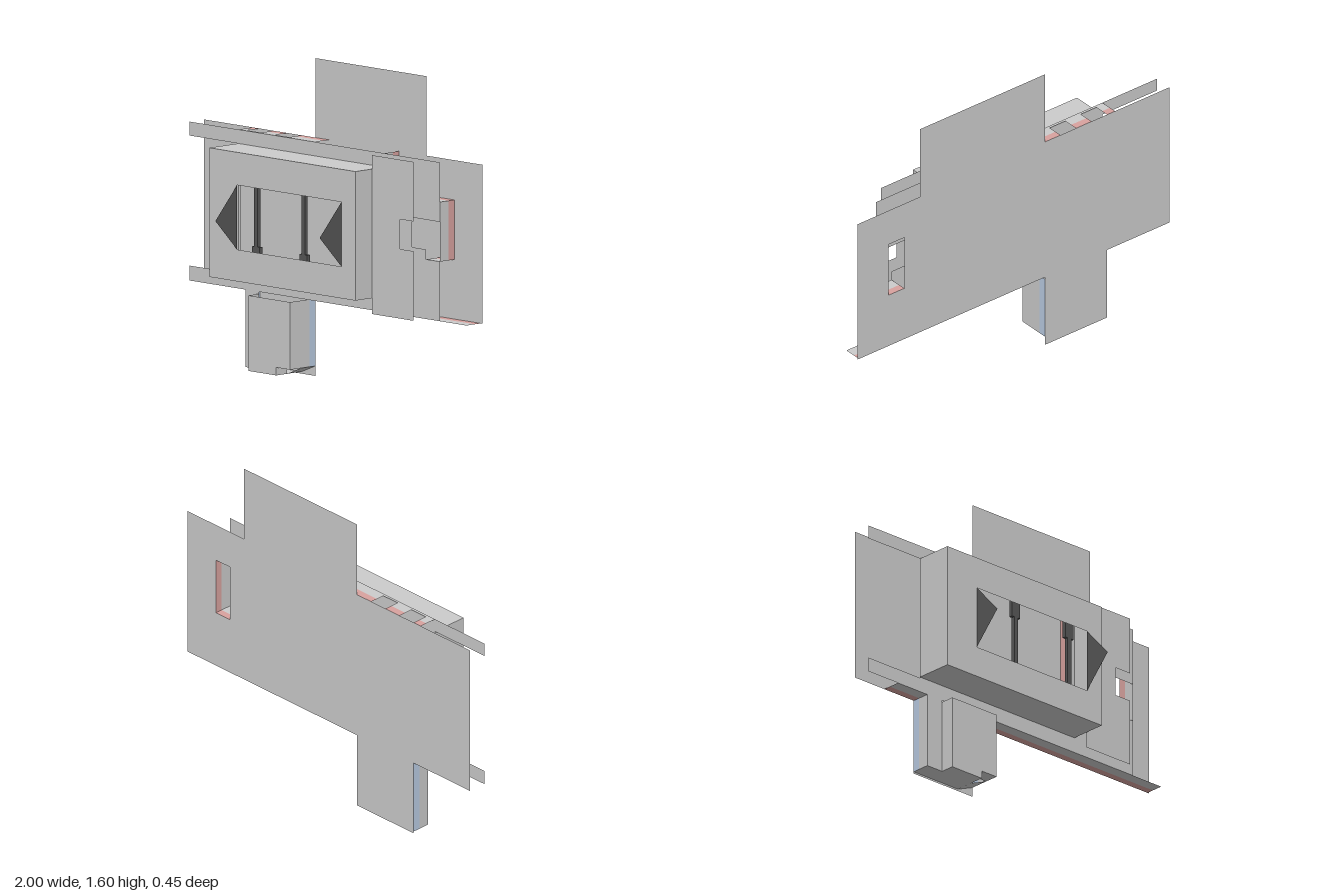
import * as THREE from 'three';

const mat = (color) => new THREE.MeshStandardMaterial({ color, side: THREE.DoubleSide });
const grey = mat(0xcccccc), dark = mat(0x565656), pink = mat(0xd8a29f), blue = mat(0xb9cbe2);
const BACK = -0.225, TINT = -0.185, MID = -0.125, PANEL = -0.04, TOP = 0.075, PEAK = 0.225;

const path = (Type, pts) => {
  const p = new Type();
  p.setFromPoints(pts.map(([x, y]) => new THREE.Vector2(x, y)));
  p.closePath();
  return p;
};
const rect = (x0, x1, y0, y1) => [[x0, y0], [x1, y0], [x1, y1], [x0, y1]];

export function createModel() {
  const model = new THREE.Group();
  const add = (name, geometry, material = grey) => {
    const mesh = new THREE.Mesh(geometry, material);
    mesh.name = name;
    model.add(mesh);
    return mesh;
  };
  // Flat sheet facing front at depth z
  const sheet = (name, z, outline, holes = []) => {
    const shape = path(THREE.Shape, outline);
    shape.holes = holes.map((h) => path(THREE.Path, h));
    add(name, new THREE.ShapeGeometry(shape).translate(0, 0, z));
  };
  // Upright wall from (xa, ya) to (xb, yb), running from depth z0 to z1
  const strip = (name, [xa, ya], [xb, yb], z0, z1, material) => {
    const g = new THREE.BufferGeometry();
    g.setAttribute('position', new THREE.Float32BufferAttribute(
      [xa, ya, z0, xb, yb, z0, xb, yb, z1, xa, ya, z1], 3));
    g.setIndex([0, 1, 2, 0, 2, 3]);
    g.computeVertexNormals();
    add(name, g, material);
  };
  // Wall between the back plate and the front sheet, tinted along the back
  const wall = (name, a, b, tint = pink, z1 = MID) => {
    strip(name + 'Edge', a, b, BACK, TINT, tint);
    strip(name, a, b, TINT, z1, grey);
  };

  // Back plate with upper and lower tabs and a latch hole
  sheet('backPlate', BACK, [
    [-1, 0.4], [-0.6, 0.4], [-0.6, 0], [-0.2, 0], [-0.2, 0.4], [1, 0.4],
    [1, 1.2], [0.6, 1.2], [0.6, 1.6], [-0.2, 1.6], [-0.2, 1.2], [-1, 1.2],
  ], [rect(0.7, 0.8, 0.7, 1.0)]);

  // Front sheet: open bay on one end, stepped latch notch on the other
  sheet('frontSheet', MID, [
    [-1, 0.4], [0.8, 0.4], [0.8, 0.7], [0.7, 0.7], [0.7, 0.75], [0.6, 0.75], [0.6, 0.9],
    [0.8, 0.9], [0.8, 1.2], [-1, 1.2], [-1, 1.13], [-0.65, 1.13], [-0.65, 0.475], [-1, 0.475],
  ], [rect(-0.63, 0.38, 0.5, 1.11)]);

  // Raised side panel with matching notch
  sheet('sidePanel', PANEL, [
    [0.4, 0.4], [0.7, 0.4], [0.7, 0.75], [0.6, 0.75], [0.6, 0.9], [0.7, 0.9], [0.7, 1.2], [0.4, 1.2],
  ]);

  // Edge walls, cross wall and latch hole lining
  wall('bottomEdgeLeft', [-0.2, 0.4], [0.99, 0.4]);
  wall('bottomEdgeRight', [-0.8, 0.4], [-0.6, 0.4]);
  wall('crossWall', [0.4, 0.41], [0.4, 1.2]);
  wall('holeSide', [0.8, 0.7], [0.8, 1.0]);
  wall('holeTop', [0.7, 1.0], [0.8, 1.0]);
  wall('holeBottom', [0.7, 0.7], [0.8, 0.7]);

  // Top edge wall with two slots
  for (const [a, b] of [[-0.65, -0.6], [-0.5, -0.4], [-0.3, -0.1]]) {
    wall('topEdge', [a, 1.2], [b, 1.2]);
  }
  strip('topEdgeLip', [-0.65, 1.2], [-0.1, 1.2], -0.14, MID, grey);

  // Main housing: windowed front and four sides
  const housing = rect(-0.65, 0.4, 0.48, 1.13);
  sheet('housingFront', TOP, housing, [rect(-0.45, 0.3, 0.64, 0.965)]);
  housing.forEach((p, i) => strip('housingSide', p, housing[(i + 1) % 4], MID, TOP, grey));

  // Triangular fins at both ends of the window
  for (const x of [-0.45, 0.3]) {
    const g = new THREE.BufferGeometry();
    g.setAttribute('position', new THREE.Float32BufferAttribute(
      [x, 0.64, TOP, x, 0.965, TOP, x, 0.8, PEAK], 3));
    g.computeVertexNormals();
    add('windowFin', g, dark);
  }

  // Three posts with wider feet behind the window
  for (const x of [-0.425, -0.085, 0.278]) {
    add('post', new THREE.BoxGeometry(0.024, 0.32, 0.02), dark).position.set(x, 0.805, -0.04);
    for (const y of [0.6, 1.0]) {
      add('postFoot', new THREE.BoxGeometry(0.055, 0.09, 0.02), dark).position.set(x, y, -0.04);
    }
  }

  // Lower pocket: front cover, side flange, walls and floor
  sheet('pocketFront', -0.05, [
    [-0.5, 0.01], [-0.3, 0.01], [-0.3, 0.05], [-0.2, 0.05], [-0.2, 0.39], [-0.5, 0.39],
  ]);
  sheet('pocketFlange', MID, rect(-0.6, -0.5, 0.01, 0.4));
  wall('pocketOuterWall', [-0.2, 0.05], [-0.2, 0.39], blue, -0.05);
  wall('pocketInnerWall', [-0.6, 0.01], [-0.6, 0.4], blue);
  strip('pocketStep', [-0.5, 0.01], [-0.5, 0.39], MID, -0.05, grey);
  strip('pocketFloor', [-0.6, 0.01], [-0.3, 0.01], BACK, MID, grey);
  strip('pocketFrontFloor', [-0.5, 0.01], [-0.3, 0.01], MID, -0.05, grey);
  strip('pocketCorner', [-0.3, 0.01], [-0.2, 0.05], BACK, MID, grey);
  strip('pocketNotchSide', [-0.3, 0.01], [-0.3, 0.05], MID, -0.05, grey);
  strip('pocketNotchTop', [-0.3, 0.05], [-0.2, 0.05], MID, -0.05, grey);

  return model;
}
